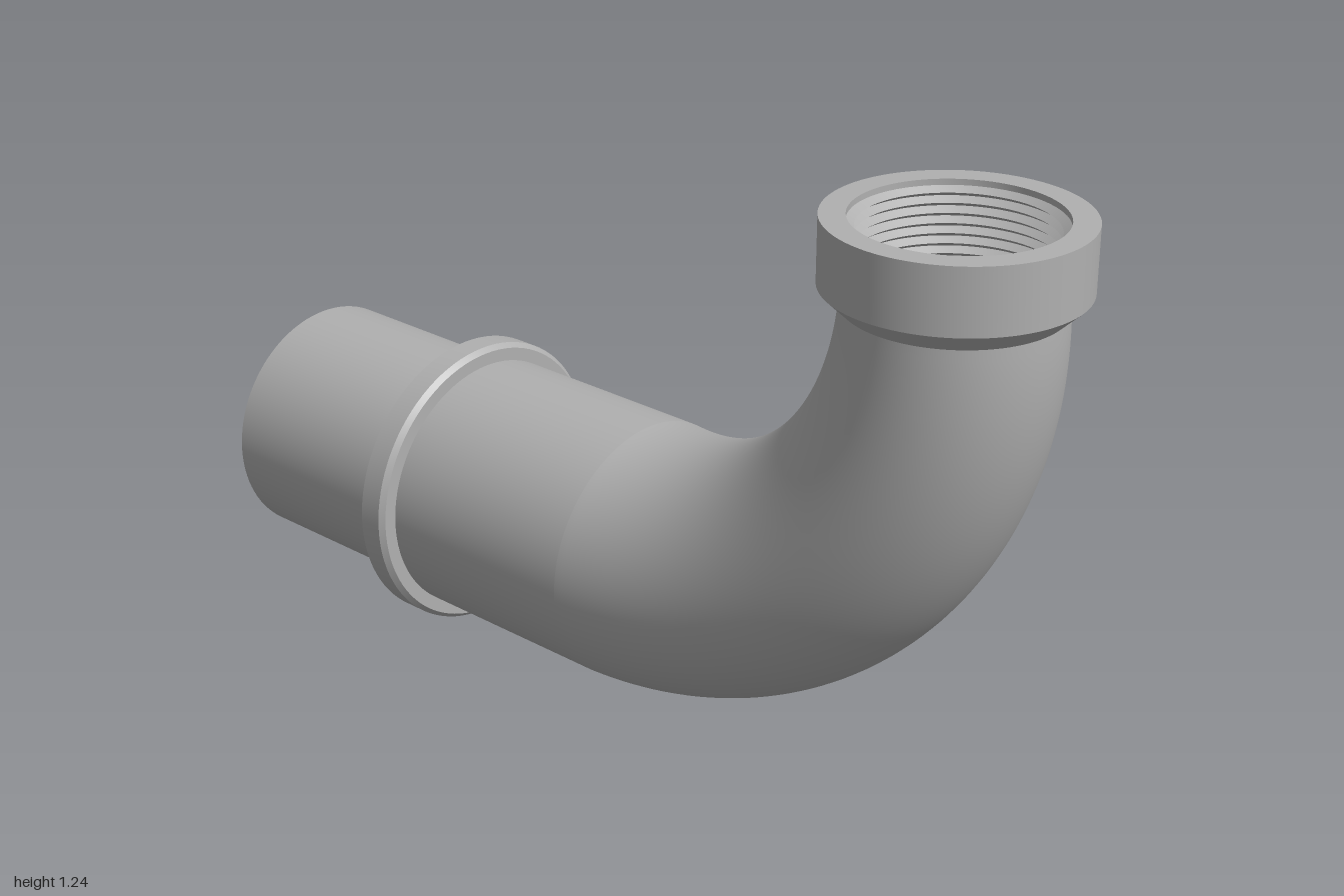
import * as THREE from 'three';
import { mergeVertices, toCreasedNormals } from 'three/addons/utils/BufferGeometryUtils.js';

const AXIS_Y = 0.315;          // height of the horizontal pipe axis
const BEND = 0.75;             // centre-line radius of the elbow
const TOP = AXIS_Y + BEND;     // height where the elbow ends

const grey = new THREE.MeshStandardMaterial({ color: 0xb0b0b0 });
grey.name = 'plain grey';

// Revolve a [radius, height] profile, keeping its edges sharp
function revolve(profile) {
  const points = profile.map(([r, y]) => new THREE.Vector2(r, y));
  return toCreasedNormals(new THREE.LatheGeometry(points, 96), Math.PI / 8);
}

// Quarter bend whose radius tapers from r0 to r1; side -1 faces inwards
function taperedBend(r0, r1, side) {
  const geometry = new THREE.CylinderGeometry(1, 1, 1, 96, 64, true);
  geometry.deleteAttribute('normal');
  geometry.deleteAttribute('uv');
  const p = geometry.attributes.position;
  for (let i = 0; i < p.count; i++) {
    const t = p.getY(i) + 0.5;
    const a = t * Math.PI / 2;
    const r = r0 + (r1 - r0) * t;
    const d = BEND + side * p.getX(i) * r;
    p.setXYZ(i, d * Math.sin(a), TOP - d * Math.cos(a), p.getZ(i) * r);
  }
  const merged = mergeVertices(geometry, 1e-5);
  merged.computeVertexNormals();
  return merged;
}

export function createModel() {
  const model = new THREE.Group();
  model.name = 'pipeElbow';
  const add = (name, geometry) => {
    const mesh = new THREE.Mesh(geometry, grey);
    mesh.name = name;
    model.add(mesh);
    return mesh;
  };

  // Straight pipe with a stop flange, bored through
  const pipe = add('straightPipe', revolve([
    [0.235, 0], [0.235, -1], [0.26, -1], [0.26, -0.535],
    [0.315, -0.535], [0.315, -0.483], [0.305, -0.472],
    [0.277, -0.472], [0.277, 0],
  ]));
  pipe.rotation.z = -Math.PI / 2;
  pipe.position.y = AXIS_Y;

  // Tapered elbow, outer and inner walls
  add('elbowOuterWall', taperedBend(0.277, 0.209, 1));
  add('elbowInnerWall', taperedBend(0.235, 0.165, -1));

  // Threaded collar: outside, rim, thread ridges, then the ledge to the bore
  const rim = 1.235;
  const profile = [[0.209, TOP], [0.25, 1.104], [0.25, rim], [0.2, rim]];
  const turns = 8;
  const pitch = (rim - 0.012 - TOP) / turns;
  for (let i = 0; i < turns; i++) {
    const y = rim - 0.012 - i * pitch;
    profile.push([0.2, y], [0.185, y - pitch / 2]);
  }
  profile.push([0.185, TOP], [0.165, TOP]);
  add('threadedCollar', revolve(profile)).position.x = BEND;

  return model;
}
